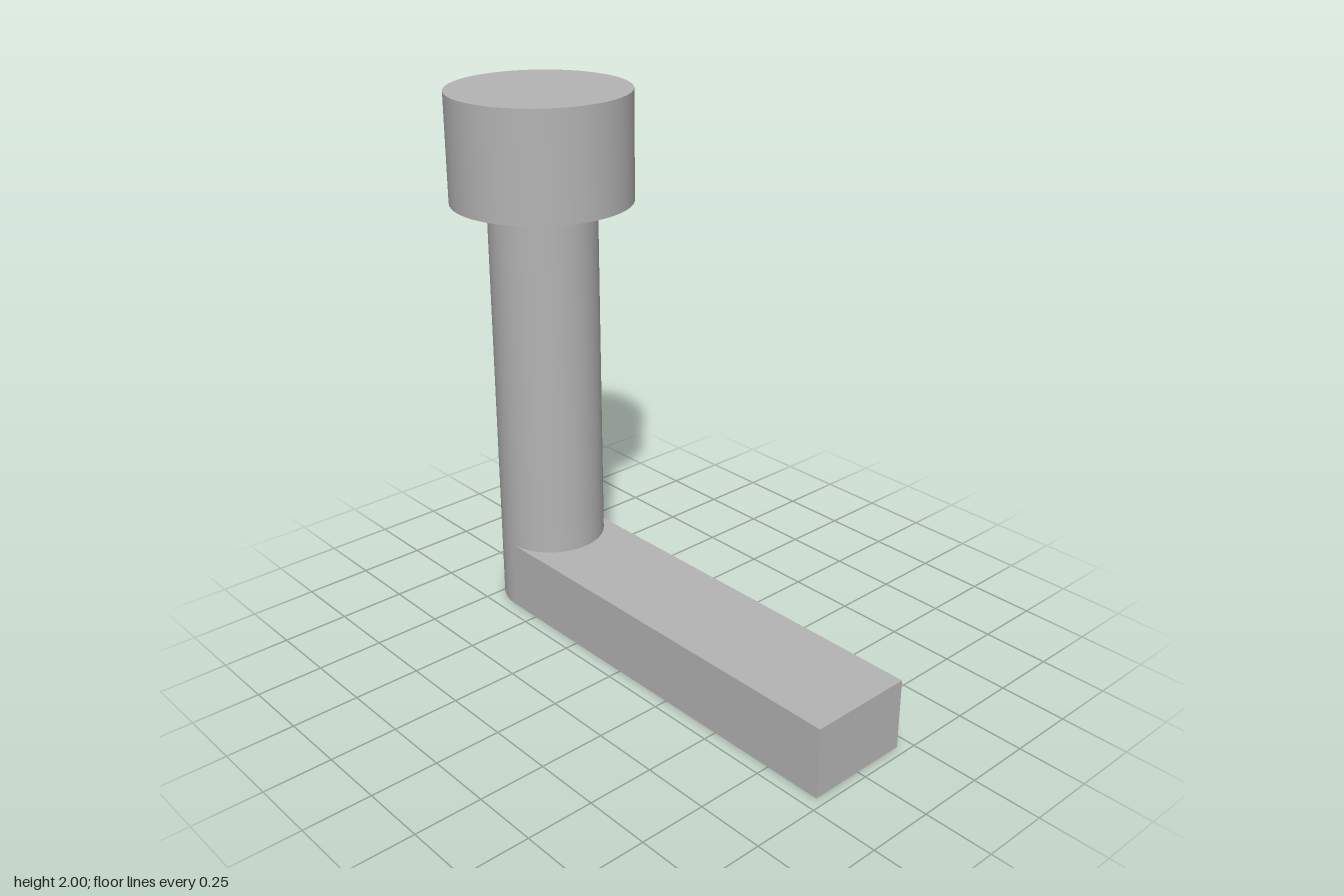
import * as THREE from 'three';

const PIVOT_Z = -0.633; // axis shared by the post and knob
const FRONT_Z = 0.967;
const ARM_HEIGHT = 0.267;

export function createModel() {
  const model = new THREE.Group();
  model.name = 'crankHandle';
  const grey = new THREE.MeshStandardMaterial({ color: 0xb4b4b4 });
  grey.name = 'grey';

  const add = (name, geometry, y, z) => {
    const mesh = new THREE.Mesh(geometry, grey);
    mesh.name = name;
    mesh.position.set(0, y, z);
    model.add(mesh);
  };
  const upright = (name, radius, bottom, top) =>
    add(name, new THREE.CylinderGeometry(radius, radius, top - bottom, 64), (bottom + top) / 2, PIVOT_Z);

  // Flat arm, its back end rounded off by the foot of the post
  add('arm', new THREE.BoxGeometry(0.4, ARM_HEIGHT, FRONT_Z - PIVOT_Z), ARM_HEIGHT / 2, (FRONT_Z + PIVOT_Z) / 2);

  // Round post and the wider knob on top
  upright('post', 0.2, 0, 1.6);
  upright('knob', 0.333, 1.6, 2);

  return model;
}
